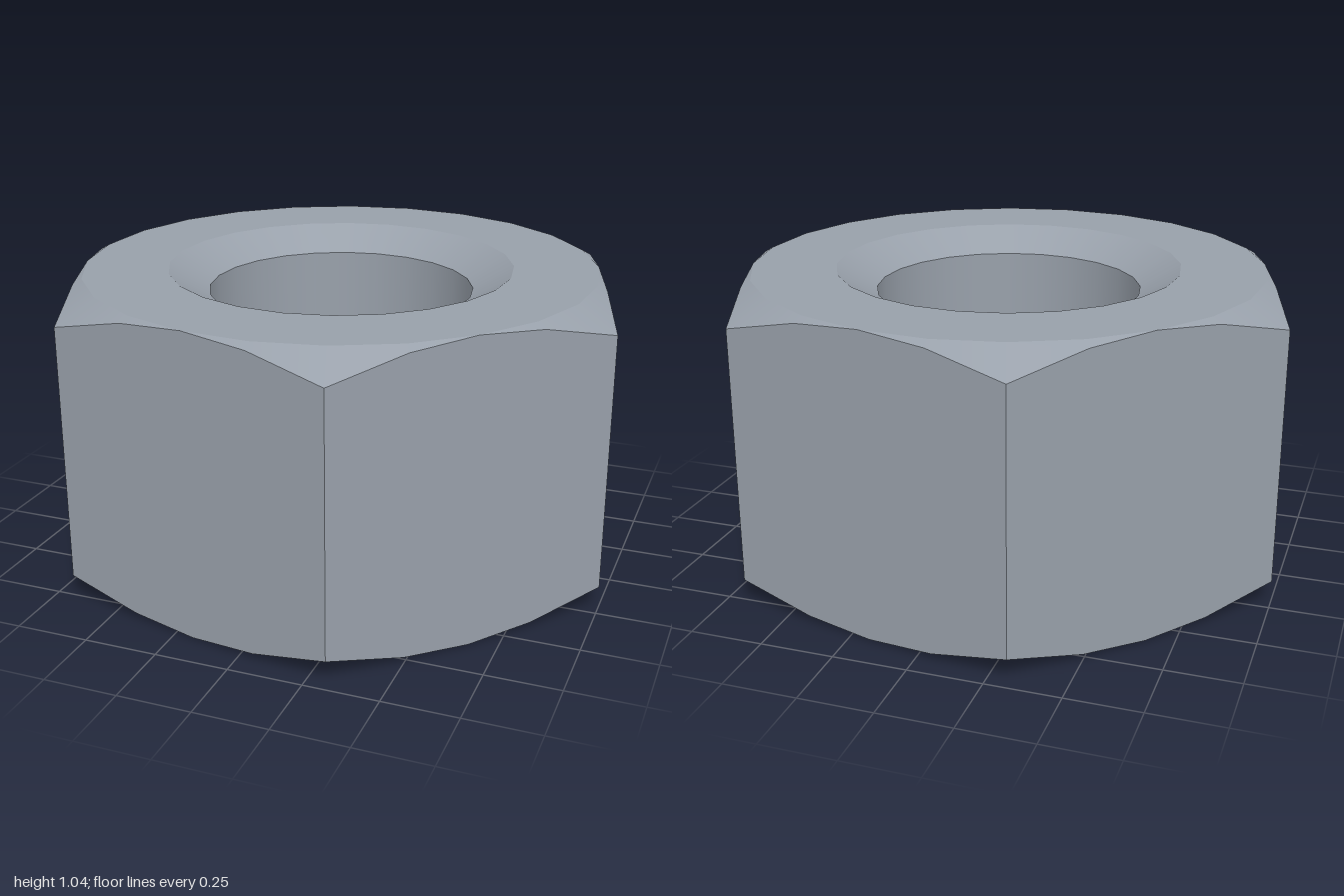
import * as THREE from 'three';

const H = 1.04;            // height of the nut
const FLAT = 0.885;        // centre to flat side
const BORE = 0.457;        // hole radius
const SINK = 0.595;        // countersink radius
const SINK_DEPTH = 0.08;
const SLOPE = Math.tan(Math.PI / 6);
const SEG = 24;
const START = THREE.MathUtils.degToRad(3);

// Ring of faces between two [radius, y] points
function ring(a, b) {
  const points = [a, b].map(([r, y]) => new THREE.Vector2(r, y));
  return new THREE.LatheGeometry(points, SEG, START, Math.PI * 2);
}

// Centre-to-edge distance of the hexagon at division i
function hexRadius(i) {
  const off = ((i + 3) % 4 - 2) * Math.PI / 12;
  return FLAT / Math.cos(off);
}

// Push one row of a ring out to the hexagon, dropping it along the 30 degree chamfer
function toHex(geometry, row, top) {
  const pos = geometry.attributes.position;
  for (let i = 0; i <= SEG; i++) {
    const r = hexRadius(i), phi = START + i * Math.PI * 2 / SEG;
    const drop = (r - FLAT) * SLOPE;
    pos.setXYZ(i * 2 + row, r * Math.sin(phi), top ? H - drop : drop, r * Math.cos(phi));
  }
  return geometry;
}

export function createModel() {
  const steel = new THREE.MeshStandardMaterial({ color: 0x98a0aa });
  steel.name = 'steel';
  const nut = new THREE.Group();
  nut.name = 'hexNut';
  const add = (name, geometry) => {
    const mesh = new THREE.Mesh(geometry, steel);
    mesh.name = name;
    nut.add(mesh);
  };

  // Six flat sides with arched upper and lower edges
  const sides = toHex(toHex(ring([FLAT, 0], [FLAT, H]), 0, false), 1, true).toNonIndexed();
  sides.computeVertexNormals();
  add('hexSides', sides);

  // Conical corner chamfers
  const rise = 0.1;
  add('topChamfer', toHex(ring([FLAT + rise, H - rise * SLOPE], [FLAT, H]), 0, true));
  add('bottomChamfer', toHex(ring([FLAT, 0], [FLAT + rise, rise * SLOPE]), 1, false));

  // Flat annular faces
  add('topFace', ring([FLAT, H], [SINK, H]));
  add('bottomFace', ring([SINK, 0], [FLAT, 0]));

  // Countersinks and hole
  add('topCountersink', ring([SINK, H], [BORE, H - SINK_DEPTH]));
  add('bore', ring([BORE, H - SINK_DEPTH], [BORE, SINK_DEPTH]));
  add('bottomCountersink', ring([BORE, SINK_DEPTH], [SINK, 0]));

  return nut;
}
